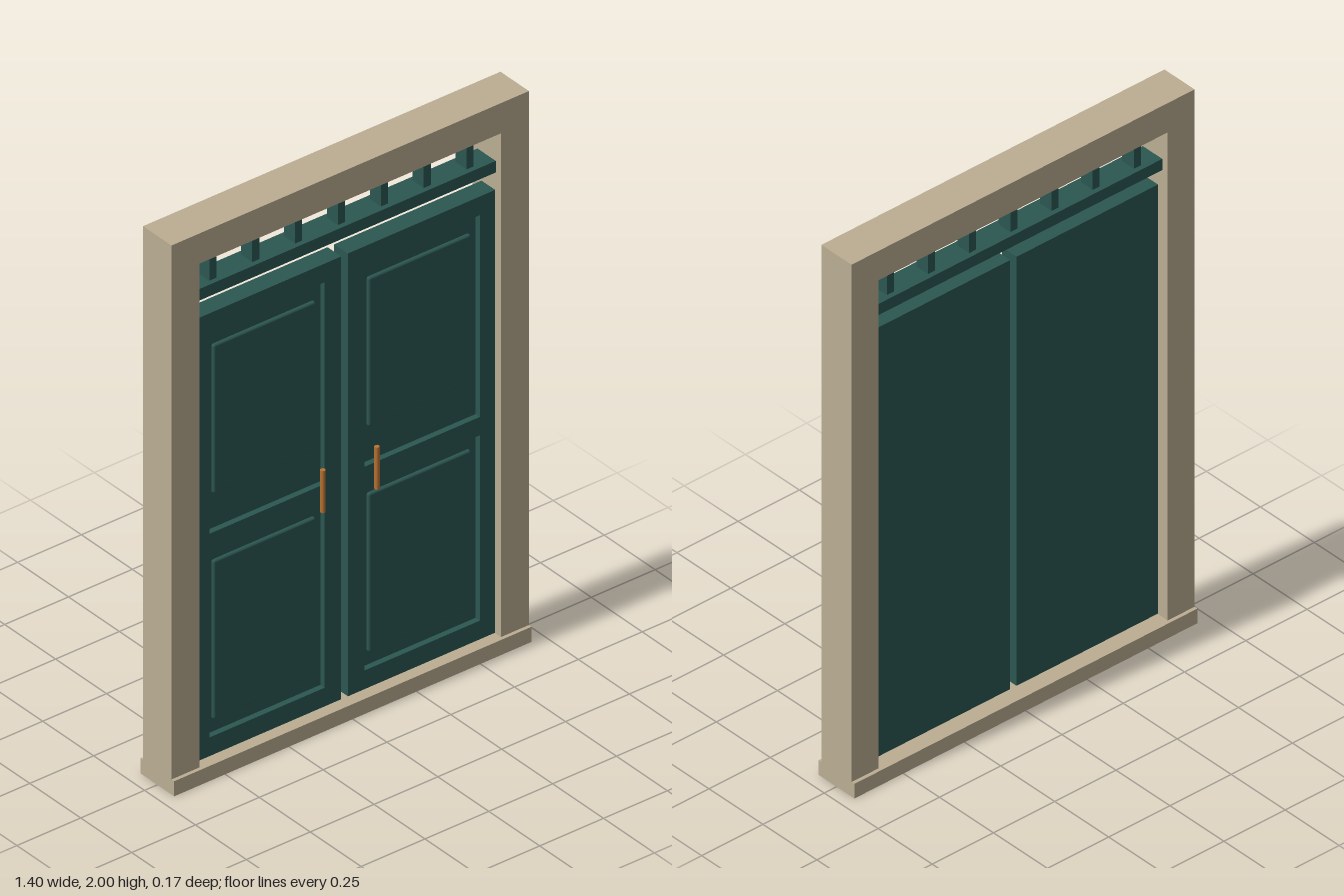
import * as THREE from 'three';
import { RoundedBoxGeometry } from 'three/addons/geometries/RoundedBoxGeometry.js';

const material = (name, color) => {
  const m = new THREE.MeshStandardMaterial({ color });
  m.name = name;
  return m;
};

// Box given by its limits on each axis; a radius softens its edges
function block(parent, name, mat, [x0, x1], [y0, y1], [z0, z1], radius = 0) {
  const size = [x1 - x0, y1 - y0, z1 - z0];
  const geometry = radius
    ? new RoundedBoxGeometry(...size, 2, radius)
    : new THREE.BoxGeometry(...size);
  const mesh = new THREE.Mesh(geometry, mat);
  mesh.position.set((x0 + x1) / 2, (y0 + y1) / 2, (z0 + z1) / 2);
  mesh.name = name;
  parent.add(mesh);
  return mesh;
}

// Limits along x, mirrored for the other side
const span = (side, inner, outer) => (side > 0 ? [inner, outer] : [-outer, -inner]);

export function createModel() {
  const stone = material('stone', 0xbbae93);
  const green = material('green paint', 0x2c5752);
  const copper = material('copper', 0xb87333);
  const model = new THREE.Group();
  model.name = 'doubleDoor';

  // Surround
  const depth = [-0.07, 0.07];
  block(model, 'sill', stone, [-0.7, 0.7], [0, 0.055], [-0.083, 0.083]);
  block(model, 'lintel', stone, [-0.59, 0.59], [1.89, 2], depth);

  for (const side of [-1, 1]) {
    const label = side > 0 ? 'left' : 'right';
    block(model, label + 'Post', stone, span(side, 0.59, 0.7), [0.055, 2], depth);

    // Door leaf: a plain slab with raised stiles, rails and panels on the front
    const door = new THREE.Group();
    door.name = label + 'Door';
    model.add(door);
    block(door, 'slab', green, span(side, 0.013, 0.59), [0.057, 1.67], [-0.025, 0.021]);

    const raised = [0.021, 0.042];
    block(door, 'innerStile', green, span(side, 0.013, 0.078), [0.057, 1.67], raised);
    block(door, 'outerStile', green, span(side, 0.53, 0.59), [0.057, 1.67], raised);
    for (const [name, y] of [['bottomRail', [0.057, 0.125]], ['middleRail', [0.8, 0.867]], ['topRail', [1.602, 1.67]]])
      block(door, name, green, span(side, 0.078, 0.53), y, raised);

    for (const [name, y] of [['lowerPanel', [0.173, 0.752]], ['upperPanel', [0.995, 1.538]]])
      block(door, name, green, span(side, 0.103, 0.505), y, [0.005, 0.032], 0.008);

    // Pull handle
    const handle = new THREE.Mesh(new THREE.CylinderGeometry(0.009, 0.009, 0.153, 8), copper);
    handle.position.set(side * 0.106, 0.867, 0.068);
    handle.name = 'handle';
    door.add(handle);
  }

  // Transom bar and its balusters
  block(model, 'transomBar', green, [-0.59, 0.59], [1.735, 1.777], [-0.045, 0.045]);
  for (let i = -3; i <= 3; i++) {
    const x = i * 0.168;
    block(model, 'baluster', green, [x - 0.014, x + 0.014], [1.777, 1.89], [-0.027, 0.027]);
  }
  return model;
}
